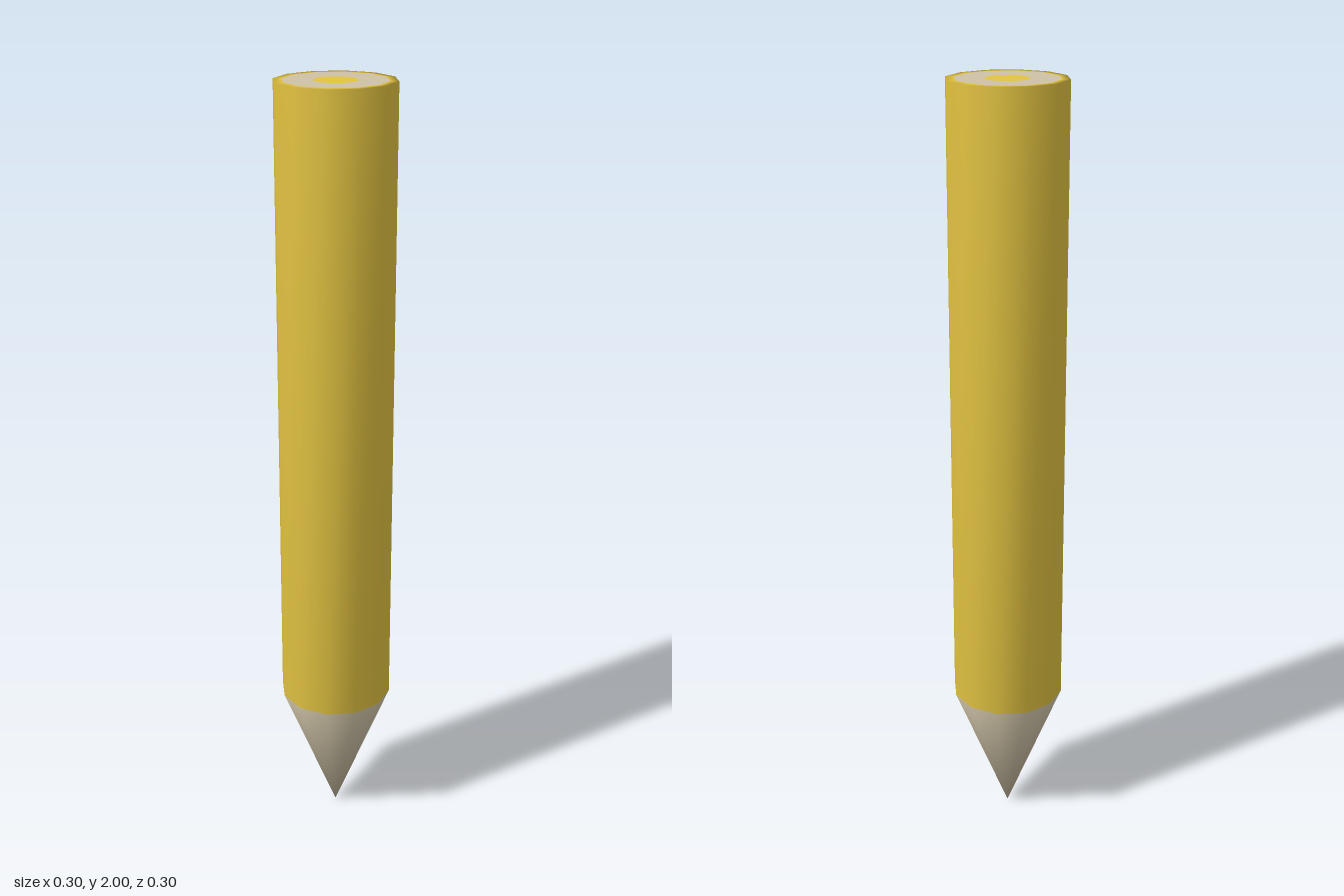
import * as THREE from 'three';

const SIDES = 12;

// Outline from the sharpened point up to the middle of the top: [radius, height]
const PROFILE = [[0, 0], [0.148, 0.375], [0.148, 2], [0.127, 2], [0.054, 2], [0, 2]];

// Welded rings, so the shading runs smoothly from cone to shaft to rim
function weldedRings() {
  const positions = [];
  const starts = [];
  for (const [r, y] of PROFILE) {
    starts.push(positions.length / 3);
    for (let k = 0; k < (r === 0 ? 1 : SIDES); k++) {
      const a = (k / SIDES) * Math.PI * 2;
      positions.push(r * Math.sin(a), y, r * Math.cos(a));
    }
  }
  const vertex = (ring, k) => starts[ring] + (PROFILE[ring][0] === 0 ? 0 : k % SIDES);

  // One band of faces between each pair of neighbouring rings
  const bands = [];
  for (let i = 0; i < PROFILE.length - 1; i++) {
    const band = [];
    for (let k = 0; k < SIDES; k++) {
      const a = vertex(i, k), b = vertex(i, k + 1);
      const c = vertex(i + 1, k + 1), d = vertex(i + 1, k);
      if (a !== b) band.push(a, b, c);
      if (c !== d) band.push(a, c, d);
    }
    bands.push(band);
  }

  const geometry = new THREE.BufferGeometry();
  geometry.setAttribute('position', new THREE.Float32BufferAttribute(positions, 3));
  geometry.setIndex(bands.flat());
  geometry.computeVertexNormals();
  return { geometry, bands };
}

export function createModel() {
  const yellow = new THREE.MeshStandardMaterial({ name: 'yellow paint', color: 0xe2c341 });
  const wood = new THREE.MeshStandardMaterial({ name: 'pale wood', color: 0xcec2a6 });

  const group = new THREE.Group();
  group.name = 'pencil';

  const { geometry, bands } = weldedRings();
  const parts = [
    ['sharpenedCone', wood],
    ['shaft', yellow],
    ['topRim', yellow],
    ['topWood', wood],
    ['topCore', yellow],
  ];
  parts.forEach(([name, material], i) => {
    const part = geometry.clone();
    part.setIndex(bands[i]);
    const mesh = new THREE.Mesh(part.toNonIndexed(), material);
    mesh.name = name;
    group.add(mesh);
  });
  return group;
}
